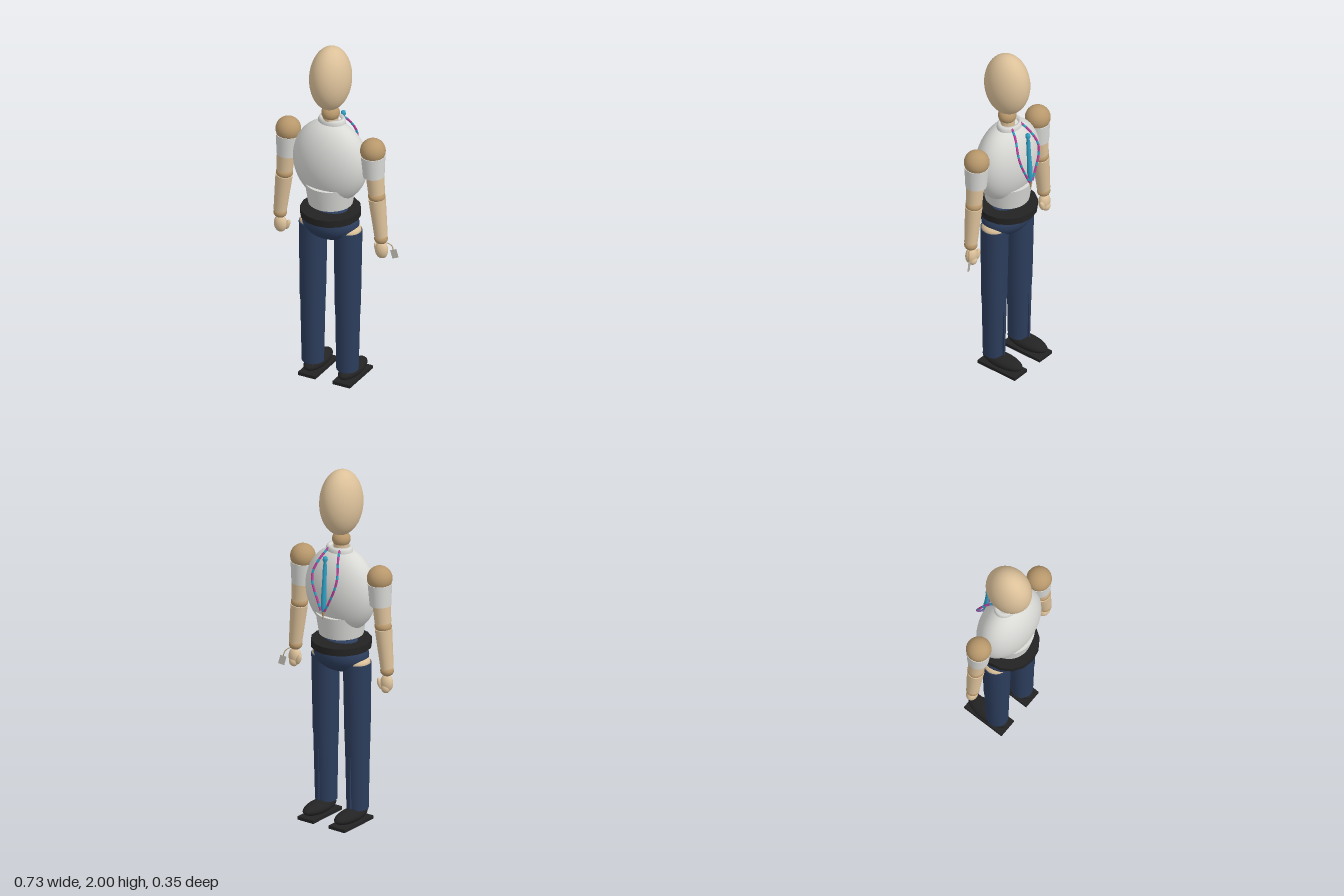
import * as THREE from 'three';

const mat = (name, color, side = THREE.FrontSide) => {
  const m = new THREE.MeshStandardMaterial({ color, side });
  m.name = name;
  return m;
};

export function createModel() {
  const wood = mat('light wood', 0xdcc19a);
  const joint = mat('joint wood', 0xb8986c);
  const white = mat('white shirt', 0xd9d9d6);
  const denim = mat('denim blue', 0x2c3d5c);
  const black = mat('black', 0x232323);
  const cyan = mat('cyan', 0x2f9fc4);
  const magenta = mat('magenta', 0xb8409a);
  const grey = mat('tag grey', 0xb4b2a8);

  const model = new THREE.Group();
  model.name = 'jointedFigure';
  const body = new THREE.Group();
  body.name = 'body';
  body.position.set(-0.022, 0, 0.012);
  model.add(body);

  const add = (name, geometry, material, x = 0, y = 0, z = 0) => {
    const mesh = new THREE.Mesh(geometry, material);
    mesh.name = name;
    mesh.position.set(x, y, z);
    body.add(mesh);
    return mesh;
  };
  const ball = (name, material, [x, y, z], [rx, ry, rz], w = 32, h = 20) =>
    add(name, new THREE.SphereGeometry(1, w, h).scale(rx, ry, rz), material, x, y, z);
  // tapered limb between two points
  const limb = (name, material, a, b, ra, rb, sides = 24) => {
    const p = new THREE.Vector3(...a), q = new THREE.Vector3(...b);
    const d = q.clone().sub(p);
    const mesh = add(name, new THREE.CylinderGeometry(rb, ra, d.length(), sides), material);
    mesh.position.copy(p).add(q).multiplyScalar(0.5);
    mesh.quaternion.setFromUnitVectors(new THREE.Vector3(0, 1, 0), d.normalize());
    return mesh;
  };

  // head and neck
  ball('head', wood, [0, 1.815, 0], [0.11, 0.185, 0.132], 48, 32);
  ball('neck', joint, [0, 1.605, 0], [0.05, 0.045, 0.05]);
  limb('lowerNeck', wood, [0, 1.54, 0], [0, 1.6, 0], 0.042, 0.042);

  // shirt
  ball('chest', white, [0, 1.317, 0], [0.216, 0.241, 0.139], 48, 32);
  const collar = [[0.078, 1.545], [0.077, 1.56], [0.07, 1.572], [0.058, 1.574], [0.05, 1.56]];
  add('collar', new THREE.LatheGeometry(collar.map(p => new THREE.Vector2(...p)), 32)
    .scale(1, 1, 0.8), white, 0, 0, -0.016).material = mat('white collar', 0xd9d9d6, THREE.DoubleSide);
  add('waist', new THREE.CylinderGeometry(0.139, 0.12, 0.125, 32), white, 0, 1.127, 0);

  // belt and hips
  add('belt', new THREE.CylinderGeometry(0.164, 0.164, 0.04, 16), black, 0, 1.01, 0);
  ball('pelvis', denim, [0, 0.95, 0], [0.163, 0.1, 0.122]);

  for (const s of [-1, 1]) {
    const side = s > 0 ? 'left' : 'right';

    // arm
    ball(side + 'Shoulder', joint, [s * 0.257, 1.44, 0], [0.069, 0.069, 0.069], 24, 16);
    limb(side + 'Sleeve', white, [s * 0.262, 1.288, 0], [s * 0.258, 1.41, 0], 0.058, 0.066);
    limb(side + 'UpperArm', wood, [s * 0.279, 1.19, 0], [s * 0.262, 1.38, 0], 0.045, 0.054);
    ball(side + 'Elbow', joint, [s * 0.28, 1.17, 0], [0.047, 0.034, 0.046]);
    limb(side + 'Forearm', wood, [s * 0.306, 0.935, 0], [s * 0.282, 1.155, 0], 0.036, 0.047);
    ball(side + 'Wrist', joint, [s * 0.306, 0.918, 0], [0.037, 0.03, 0.036]);
    ball(side + 'Hand', wood, [s * 0.307, 0.848, -0.004], [0.037, 0.05, 0.03]);
    const thumb = ball(side + 'Thumb', wood, [s * 0.272, 0.842, -0.018], [0.014, 0.032, 0.014]);
    thumb.rotation.z = s * 0.35;
    ball(side + 'Fingers', wood, [s * 0.308, 0.822, -0.014], [0.026, 0.028, 0.024]);

    // leg
    ball(side + 'Hip', wood, [s * 0.106, 0.922, 0], [0.073, 0.04, 0.07]);
    limb(side + 'Thigh', denim, [s * 0.106, 0.463, 0.003], [s * 0.106, 0.92, 0], 0.07, 0.077);
    limb(side + 'Shin', denim, [s * 0.105, 0.077, 0.005], [s * 0.106, 0.47, 0.003], 0.06, 0.068);
    add(side + 'TrouserCrease', new THREE.BoxGeometry(0.006, 0.3, 0.012), denim, s * 0.106, 0.23, -0.061);

    // shoe
    ball(side + 'Shoe', black, [s * 0.105, 0.05, -0.054], [0.055, 0.036, 0.131], 24, 14);
    add(side + 'Sole', new THREE.BoxGeometry(0.106, 0.018, 0.256), black, s * 0.105, 0.009, -0.052);

    // beaded cord in alternating colours
    const cord = new THREE.CatmullRomCurve3([
      [0.035, 1.565, -0.06], [0.05, 1.535, -0.092], [0.082, 1.43, -0.147],
      [0.034, 1.285, -0.162], [0.012, 1.24, -0.165],
    ].map(([x, y, z]) => new THREE.Vector3(s * x, y, z)), false, 'chordal');
    const beads = cord.getSpacedPoints(18);
    for (let i = 0; i < 18; i++)
      limb(side + 'CordBead', i % 3 === 1 ? cyan : magenta,
        beads[i].toArray(), beads[i + 1].toArray(), 0.0065, 0.0065, 8);
  }

  // pendant with a rounded end and slim body
  const profile = [[0, 0.035], [0.006, 0.04], [0.014, 0.075], [0.015, 0.13], [0.012, 0.22],
    [0.011, 0.31], [0.007, 0.33], [0.014, 0.345], [0.012, 0.36], [0, 0.367]];
  const pendant = new THREE.Group();
  pendant.name = 'pendant';
  const stick = new THREE.Mesh(new THREE.LatheGeometry(
    profile.map(p => new THREE.Vector2(...p)), 16), cyan);
  stick.name = 'pendantBody';
  const tip = new THREE.Mesh(new THREE.ConeGeometry(0.009, 0.05, 12).rotateX(Math.PI), joint);
  tip.name = 'pendantTip';
  tip.position.y = 0.027;
  pendant.add(stick, tip);
  pendant.position.set(0, 1.183, -0.163);
  pendant.rotation.x = 0.06;
  body.add(pendant);

  // tag on a string at the left hand
  const string = new THREE.CatmullRomCurve3([[0.315, 0.895, 0], [0.34, 0.89, -0.015],
    [0.358, 0.868, -0.03], [0.362, 0.845, -0.034]].map(p => new THREE.Vector3(...p)));
  add('tagString', new THREE.TubeGeometry(string, 12, 0.0025, 6), joint);
  const tag = add('tag', new THREE.BoxGeometry(0.034, 0.05, 0.004), grey, 0.367, 0.822, -0.037);
  tag.rotation.set(0, 0.4, 0.25);

  return model;
}
